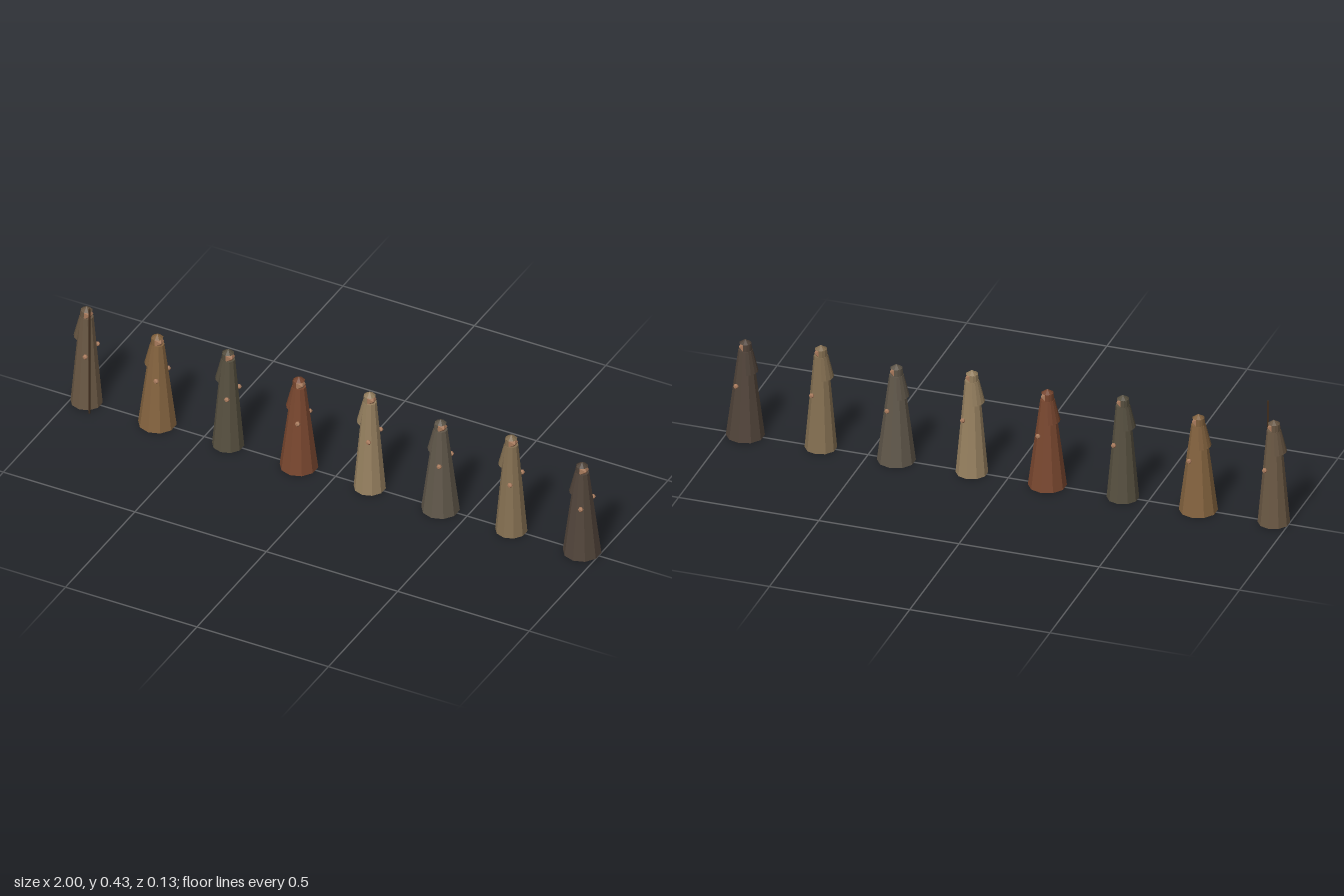
import * as THREE from 'three';

const material = (color) => new THREE.MeshStandardMaterial({ color, flatShading: true, side: THREE.DoubleSide });
const skin = material(0xa87a5c);
const wood = material(0x3f2d1e);

function add(group, name, geometry, mat, x, y, z) {
  const mesh = new THREE.Mesh(geometry, mat);
  mesh.name = name;
  mesh.position.set(x, y, z);
  group.add(mesh);
  return mesh;
}

// One robed figure facing +x
function makeFigure(tall, color) {
  const g = new THREE.Group();
  const cloth = material(color);
  const shawlCloth = material(new THREE.Color(color).multiplyScalar(0.9));
  const robeHeight = tall ? 0.35 : 0.325;
  const baseRadius = tall ? 0.055 : 0.066;

  add(g, 'robe', new THREE.CylinderGeometry(0.024, baseRadius, robeHeight, 10), cloth, 0, robeHeight / 2, 0);

  // Shawl over the back and shoulders, open at the chest
  const halfAngle = 1.2;
  const shawl = new THREE.CylinderGeometry(0.025, 0.044, 0.078, 6, 1, true,
    -Math.PI / 2 - halfAngle, halfAngle * 2);
  add(g, 'shawl', shawl, shawlCloth, 0, robeHeight - 0.04, 0);

  // Head with a hood that leaves the face bare
  const headY = robeHeight + 0.01;
  add(g, 'head', new THREE.IcosahedronGeometry(0.021, 0), skin, 0.002, headY, 0);
  add(g, 'hoodTop', new THREE.ConeGeometry(0.021, 0.015, 8), shawlCloth, 0, headY + 0.0215, 0);
  add(g, 'hoodBack', new THREE.CylinderGeometry(0.021, 0.023, 0.03, 6, 1, true,
    -Math.PI / 2 - 1.6, 3.2), shawlCloth, 0, headY, 0);

  // Hands at both sides
  for (const side of [-1, 1]) {
    add(g, 'hand', new THREE.IcosahedronGeometry(0.0095, 0), skin, 0.018, tall ? 0.214 : 0.202, side * 0.044);
  }
  return g;
}

export function createModel() {
  const model = new THREE.Group();
  const colors = [0x6a5844, 0x84633f, 0x575040, 0x79472f, 0x978160, 0x60574a, 0x857052, 0x51443a];

  // Row of figures, alternating tall and short
  colors.forEach((color, i) => {
    const figure = makeFigure(i % 2 === 0, color);
    figure.name = 'robedFigure';
    figure.position.x = -0.947 + i * 0.2692;
    model.add(figure);
  });

  // Walking staff of the first figure
  add(model, 'staff', new THREE.CylinderGeometry(0.004, 0.004, 0.425, 6), wood, -0.906, 0.2125, 0.057);
  return model;
}
